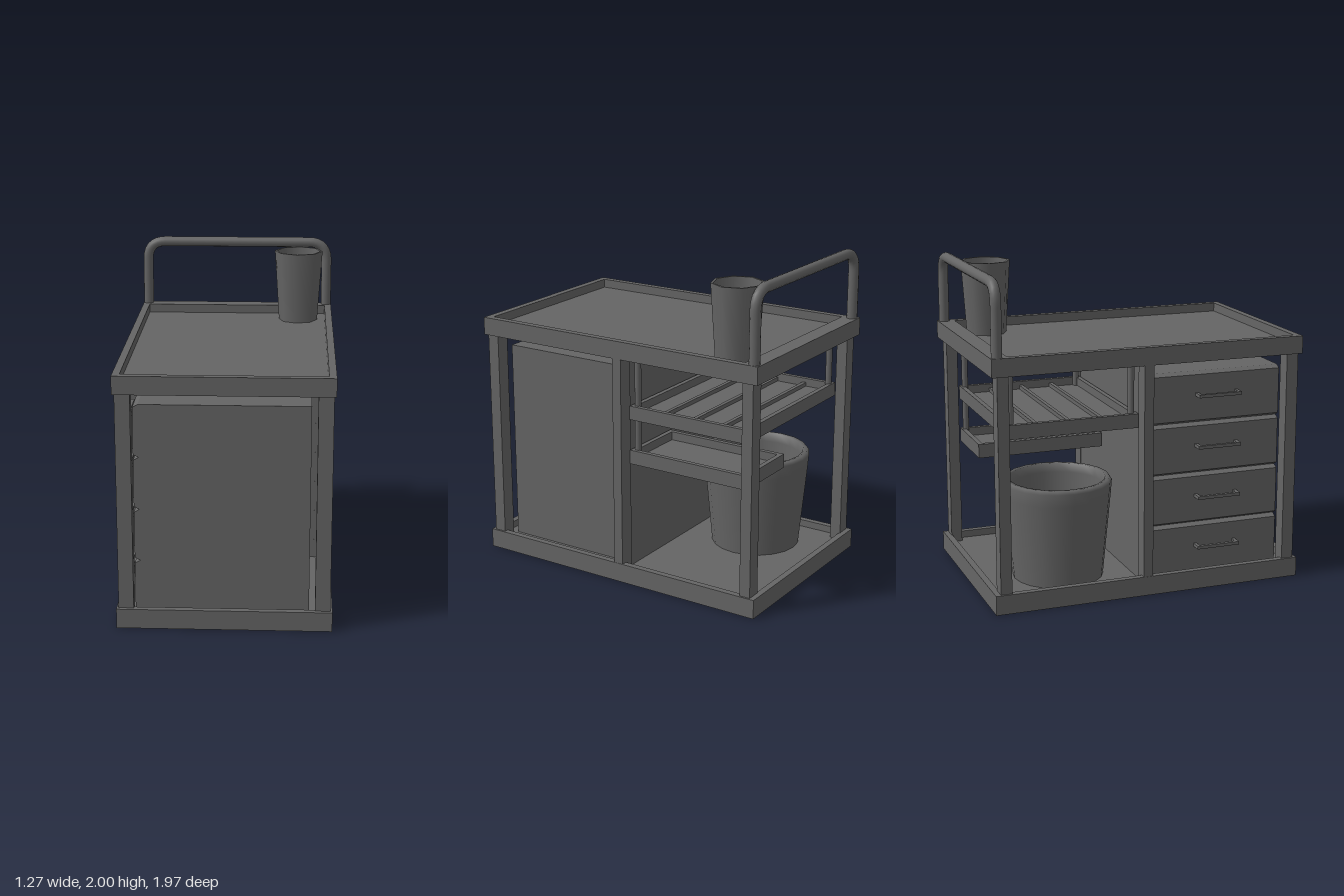
import * as THREE from 'three';

const mat = new THREE.MeshStandardMaterial({ color: 0x656565 });
const matTwoSided = new THREE.MeshStandardMaterial({ color: 0x656565, side: THREE.DoubleSide });

export function createModel() {
  const root = new THREE.Group();
  root.name = 'kitchenTrolley';

  const add = (name, geometry, parent = root, material = mat) => {
    const mesh = new THREE.Mesh(geometry, material);
    mesh.name = name;
    parent.add(mesh);
    return mesh;
  };
  const group = (name) => {
    const g = new THREE.Group();
    g.name = name;
    root.add(g);
    return g;
  };
  // Box given by its limits on each axis
  const box = (name, [x0, x1], [y0, y1], [z0, z1], parent) => {
    const mesh = add(name, new THREE.BoxGeometry(x1 - x0, y1 - y0, z1 - z0), parent);
    mesh.position.set((x0 + x1) / 2, (y0 + y1) / 2, (z0 + z1) / 2);
    return mesh;
  };
  // Rectangular rim around a thinner panel
  const tray = (name, [x0, x1], [y0, y1], [z0, z1], rim, backRim, panelY) => {
    const g = group(name);
    box('sideRim', [x0, x0 + rim], [y0, y1], [z0, z1], g);
    box('sideRim', [x1 - rim, x1], [y0, y1], [z0, z1], g);
    box('backRim', [x0 + rim, x1 - rim], [y0, y1], [z0, z0 + backRim], g);
    box('frontRim', [x0 + rim, x1 - rim], [y0, y1], [z1 - rim, z1], g);
    box('panel', [x0 + rim, x1 - rim], panelY, [z0 + backRim, z1 - rim], g);
    return g;
  };

  // Base and worktop
  tray('base', [-0.637, 0.637], [0, 0.12], [-0.983, 0.983], 0.04, 0.04, [0.055, 0.075]);
  tray('worktop', [-0.637, 0.637], [1.435, 1.545], [-0.983, 0.983], 0.044, 0.104, [1.435, 1.49]);

  // Posts (the middle pair slightly wider) and the partition between them
  for (const [z0, z1, outer] of [[0.885, 0.96, 0.625], [-0.05, 0.01, 0.635], [-0.95, -0.88, 0.625]]) {
    box('post', [-outer, -0.535], [0.03, 1.46], [z0, z1]);
    box('post', [0.535, outer], [0.03, 1.46], [z0, z1]);
  }
  box('partition', [-0.535, 0.535], [0.07, 1.455], [-0.045, 0.005]);

  // Cabinet with four bevelled drawer fronts facing -x
  box('cabinet', [-0.5, 0.5], [0.07, 1.35], [0.005, 0.878]);
  for (let i = 0; i < 4; i++) {
    const g = group('drawer');
    const y = 0.23 + i * 0.32;
    const front = new THREE.BoxGeometry(0.032, 0.32, 0.873);
    const p = front.attributes.position;
    for (let k = 0; k < p.count; k++) {
      if (p.getX(k) < 0) p.setY(k, p.getY(k) - Math.sign(p.getY(k)) * 0.018);
    }
    front.computeVertexNormals();
    add('drawerFront', front, g).position.set(-0.516, y, 0.4415);
    const hy = y + 0.02;
    box('handleBar', [-0.6, -0.578], [hy - 0.01, hy + 0.01], [0.32, 0.6], g);
    for (const z of [0.32, 0.58]) {
      box('handleLeg', [-0.578, -0.525], [hy - 0.01, hy + 0.01], [z, z + 0.02], g);
    }
  }

  // Hanging shelves: full-width upper one with cross slats, narrow lower one
  const upper = tray('upperShelf', [-0.55, 0.55], [1.04, 1.126], [-0.87, -0.055], 0.03, 0.03, [1.06, 1.075]);
  for (let i = 1; i <= 3; i++) {
    const z = -0.87 + i * 0.204;
    box('slat', [-0.52, 0.52], [1.045, 1.1], [z - 0.012, z + 0.012], upper);
  }
  tray('lowerShelf', [0.1, 0.55], [0.757, 0.845], [-0.87, -0.055], 0.03, 0.03, [0.777, 0.792]);
  for (const [x, bottom] of [[-0.51, 1.06], [0.51, 0.78]]) {
    for (const z of [-0.09, -0.842]) {
      const h = 1.46 - bottom;
      add('hangingRod', new THREE.CylinderGeometry(0.02, 0.02, h, 12)).position.set(x, bottom + h / 2, z);
    }
  }

  // Push handle: a bent tube
  const X = 0.603, top = 1.967, r = 0.12, z = -0.943;
  const v = (x, y) => new THREE.Vector3(x, y, z);
  const path = new THREE.CurvePath();
  path.add(new THREE.LineCurve3(v(-X, 1.5), v(-X, top - r)));
  path.add(new THREE.QuadraticBezierCurve3(v(-X, top - r), v(-X, top), v(-X + r, top)));
  path.add(new THREE.LineCurve3(v(-X + r, top), v(X - r, top)));
  path.add(new THREE.QuadraticBezierCurve3(v(X - r, top), v(X, top), v(X, top - r)));
  path.add(new THREE.LineCurve3(v(X, top - r), v(X, 1.5)));
  add('pushHandle', new THREE.TubeGeometry(path, 80, 0.033, 12, false));

  // Hollow vessels turned from a wall profile; doubled points keep an edge sharp
  const vessel = (name, points, sides) =>
    add(name, new THREE.LatheGeometry(points.map(([a, b]) => new THREE.Vector2(a, b)), sides), root, matTwoSided);
  vessel('bin', [[0, 0], [0.28, 0], [0.28, 0], [0.33, 0.525], [0.336, 0.605], [0.322, 0.625], [0.295, 0.625],
    [0.285, 0.57], [0.25, 0.03], [0.25, 0.03], [0, 0.03]], 20).position.set(-0.26, 0.075, -0.477);
  const cup = vessel('cup', [[0, 0], [0.127, 0], [0.127, 0], [0.157, 0.46], [0.157, 0.46], [0.143, 0.46],
    [0.143, 0.46], [0.115, 0.03], [0.115, 0.03], [0, 0.03]], 8);
  cup.position.set(0.415, 1.49, -0.716);
  cup.rotation.y = -0.07;

  return root;
}
